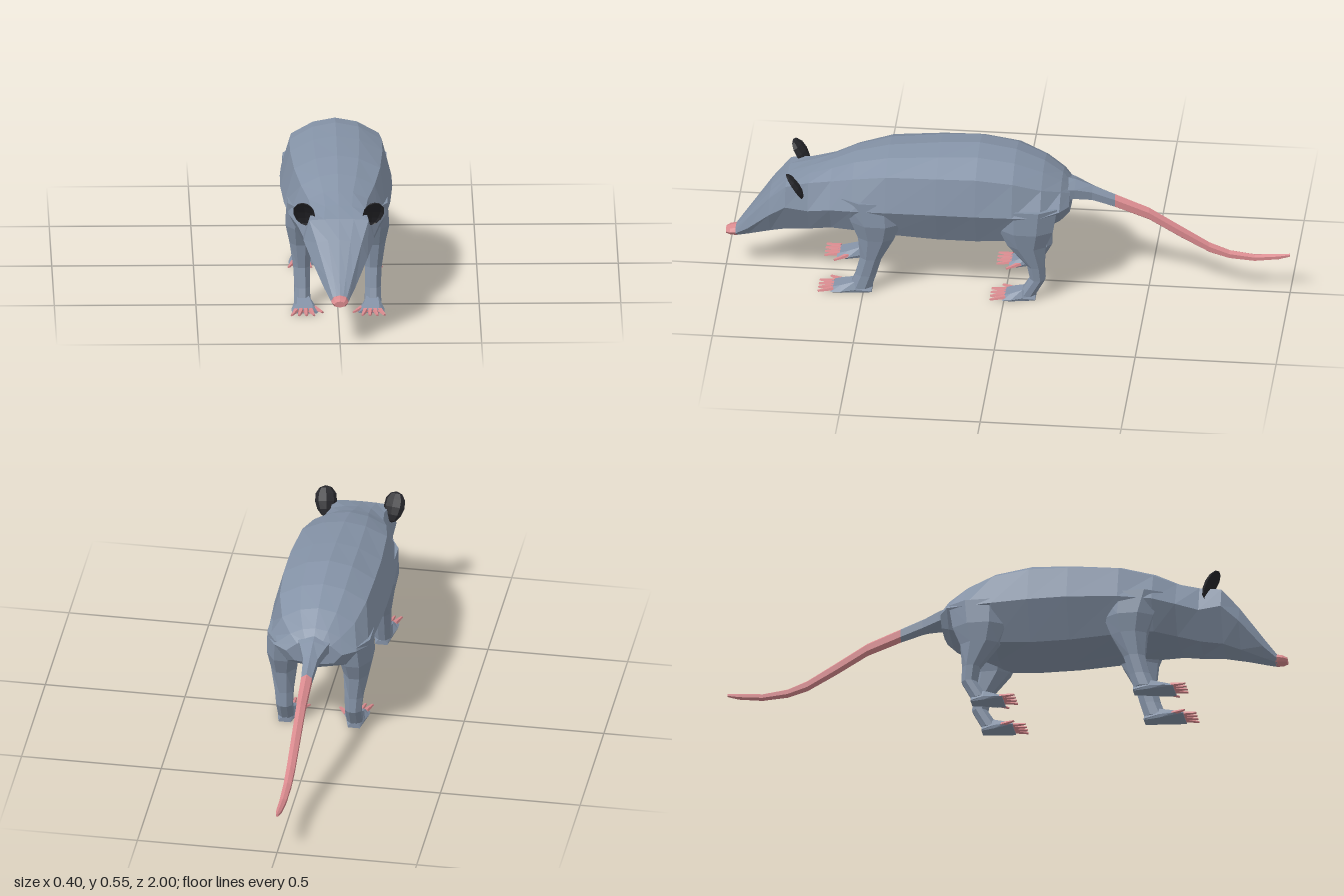
import * as THREE from 'three';

const paint = (color) => new THREE.MeshStandardMaterial({ color, flatShading: true });
const fur = paint(0x8492a6), pink = paint(0xd98a8e), black = paint(0x26262a);

// Skin a row of closed rings (clockwise seen from the first ring's end) and cap both ends.
function loft(rings) {
  const n = rings[0].length, pos = [], idx = [];
  rings.forEach((r) => r.forEach((p) => pos.push(...p)));
  for (let i = 0; i < rings.length - 1; i++) {
    for (let j = 0; j < n; j++) {
      const a = i * n + j, b = i * n + (j + 1) % n;
      idx.push(a, b, a + n, b, b + n, a + n);
    }
  }
  const last = (rings.length - 1) * n;
  for (let j = 1; j < n - 1; j++) {
    idx.push(0, j + 1, j, last, last + j, last + j + 1);
  }
  const g = new THREE.BufferGeometry();
  g.setAttribute('position', new THREE.Float32BufferAttribute(pos, 3));
  g.setIndex(idx);
  const flat = g.toNonIndexed();
  flat.computeVertexNormals();
  return flat;
}

function part(name, geometry, material) {
  const m = new THREE.Mesh(geometry, material);
  m.name = name;
  return m;
}

// Ring of n points around a centre, upright (across z) or level (across y).
const around = (n, f) => Array.from({ length: n }, (_, i) => f((i / n) * Math.PI * 2));
const uprightRing = (n, x, y, z, rx, ry) =>
  around(n, (a) => [x + rx * Math.sin(a), y + ry * Math.cos(a), z]);
const levelRing = (n, x, y, z, rx, rz) =>
  around(n, (a) => [x + rx * Math.cos(a + Math.PI / n), y, z + rz * Math.sin(a + Math.PI / n)]);

// Body section: top, upper edge, widest point, lower edge, bottom; mirrored in x.
function bodyRing([z, top, sx, sy, mx, my, lx, ly, bottom]) {
  const half = [[sx * 0.5, top - (top - sy) * 0.25, z], [sx, sy, z], [mx, my, z], [lx, ly, z]];
  const other = half.map(([x, y]) => [-x, y, z]).reverse();
  return [[0, top, z], ...half, [0, bottom, z], ...other];
}

const bodySections = [
  [0.965, 0.17, 0.025, 0.163, 0.031, 0.148, 0.02, 0.135, 0.13],
  [0.92, 0.23, 0.045, 0.222, 0.055, 0.185, 0.03, 0.15, 0.14],
  [0.84, 0.338, 0.08, 0.328, 0.1, 0.27, 0.05, 0.18, 0.157],
  [0.78, 0.398, 0.105, 0.393, 0.125, 0.32, 0.065, 0.2, 0.17],
  [0.7, 0.425, 0.095, 0.408, 0.125, 0.31, 0.075, 0.21, 0.19],
  [0.62, 0.457, 0.105, 0.425, 0.145, 0.33, 0.09, 0.228, 0.215],
  [0.54, 0.495, 0.13, 0.452, 0.172, 0.345, 0.12, 0.24, 0.225],
  [0.42, 0.527, 0.152, 0.48, 0.188, 0.355, 0.13, 0.235, 0.215],
  [0.24, 0.547, 0.163, 0.49, 0.198, 0.362, 0.13, 0.225, 0.192],
  [0.1, 0.555, 0.163, 0.493, 0.197, 0.362, 0.13, 0.225, 0.195],
  [-0.03, 0.535, 0.155, 0.478, 0.19, 0.36, 0.13, 0.235, 0.22],
  [-0.13, 0.495, 0.13, 0.445, 0.18, 0.36, 0.12, 0.28, 0.26],
  [-0.195, 0.45, 0.09, 0.42, 0.148, 0.37, 0.1, 0.31, 0.29],
  [-0.225, 0.415, 0.06, 0.4, 0.1, 0.367, 0.07, 0.33, 0.32],
];

// Leg rows: y, centre x, half width, front z, back z.
const legs = {
  front: {
    rows: [
      [0.38, 0.12, 0.058, 0.58, 0.36],
      [0.29, 0.128, 0.056, 0.545, 0.365],
      [0.225, 0.13, 0.04, 0.52, 0.39],
      [0.14, 0.127, 0.03, 0.512, 0.435],
      [0.07, 0.125, 0.028, 0.53, 0.455],
      [0.02, 0.125, 0.03, 0.55, 0.47],
    ],
    heel: 0.47, toe: 0.615,
  },
  hind: {
    rows: [
      [0.38, 0.12, 0.065, 0.03, -0.19],
      [0.29, 0.128, 0.06, 0.02, -0.175],
      [0.225, 0.13, 0.045, -0.01, -0.148],
      [0.14, 0.125, 0.033, -0.08, -0.142],
      [0.085, 0.123, 0.029, -0.09, -0.145],
      [0.02, 0.123, 0.028, -0.05, -0.11],
    ],
    heel: -0.11, toe: 0.005,
  },
};

function makeLeg(name, { rows, heel, toe }, side) {
  const leg = new THREE.Group();
  leg.name = name;
  leg.add(part('limb', loft(rows.map(([y, x, w, f, b]) =>
    levelRing(8, side * x, y, (f + b) / 2, w * 1.06, (f - b) / 2 * 1.06))), fur));

  // Flat foot, wide at the toes
  const len = toe - heel;
  const footRow = (t, x, w, h) => {
    const z = heel + len * t, c = side * x;
    return [[c - w * 0.6, h, z], [c + w * 0.6, h, z], [c + w, h * 0.35, z],
      [c + w * 0.9, 0.003, z], [c - w * 0.9, 0.003, z], [c - w, h * 0.35, z]];
  };
  leg.add(part('foot', loft([
    footRow(1, 0.117, 0.046, 0.017), footRow(0.75, 0.118, 0.046, 0.027),
    footRow(0.4, 0.122, 0.034, 0.042), footRow(0, 0.124, 0.023, 0.02),
  ]), fur));

  // Four fanned toes and an inner thumb
  for (let i = 0; i < 5; i++) {
    const thumb = i === 0;
    const spread = (i - 2.2) / 2;
    const g = new THREE.CylinderGeometry(0.005, 0.011, 0.055, 5);
    g.rotateX(Math.PI / 2);
    g.scale(1, 0.75, 1);
    const m = part('toe', g, pink);
    m.position.set(side * (0.117 + spread * 0.043), 0.011, toe + (thumb ? -0.015 : 0.018));
    m.rotation.set(0.08, side * (thumb ? -0.6 : spread * 0.35), 0, 'YXZ');
    leg.add(m);
  }
  return leg;
}

// Cupped ear: a ball whose front half is folded back behind the rim
function makeEar(name, side) {
  const g = new THREE.SphereGeometry(1, 8, 6);
  const p = g.attributes.position;
  for (let i = 0; i < p.count; i++) {
    const z = p.getZ(i);
    p.setZ(i, z < 0 ? z * 0.6 : -z * 0.32);
    p.setX(i, p.getX(i) * (1 + 0.15 * p.getY(i)));
  }
  g.scale(0.039, 0.056, 0.036);
  g.computeVertexNormals();
  const ear = part(name, g, black);
  ear.position.set(side * 0.122, 0.405, 0.748);
  ear.rotation.set(0.55, side * 0.2, -side * 0.1);
  return ear;
}

const tailLoft = (rows) => loft(rows.map(([z, y, rx, ry]) => uprightRing(6, 0, y, z, rx, ry)));

export function createModel() {
  const model = new THREE.Group();
  model.name = 'opossum';
  model.add(part('body', loft(bodySections.map(bodyRing)), fur));

  // Nose tip
  model.add(part('nose', loft([
    [1.0, 0.147, 0.02, 0.011], [0.985, 0.149, 0.029, 0.017], [0.96, 0.151, 0.031, 0.021],
  ].map(([z, y, rx, ry]) => uprightRing(8, 0, y, z, rx, ry))), pink));

  // Furry tail root, then the bare tail
  model.add(part('tailRoot', tailLoft([
    [-0.18, 0.395, 0.085, 0.04], [-0.24, 0.388, 0.055, 0.036],
    [-0.3, 0.372, 0.03, 0.03], [-0.38, 0.344, 0.022, 0.026],
  ]), fur));
  model.add(part('tail', tailLoft([
    [-0.38, 0.344, 0.022, 0.026], [-0.5, 0.298, 0.019, 0.024], [-0.61, 0.232, 0.018, 0.023],
    [-0.715, 0.172, 0.017, 0.02], [-0.785, 0.148, 0.016, 0.016], [-0.875, 0.139, 0.014, 0.013],
    [-0.96, 0.148, 0.011, 0.011], [-1.0, 0.156, 0.005, 0.006],
  ]), pink));

  for (const [label, side] of [['left', 1], ['right', -1]]) {
    model.add(makeEar(label + 'Ear', side));
    model.add(makeLeg(label + 'FrontLeg', legs.front, side));
    model.add(makeLeg(label + 'HindLeg', legs.hind, side));
  }
  return model;
}
